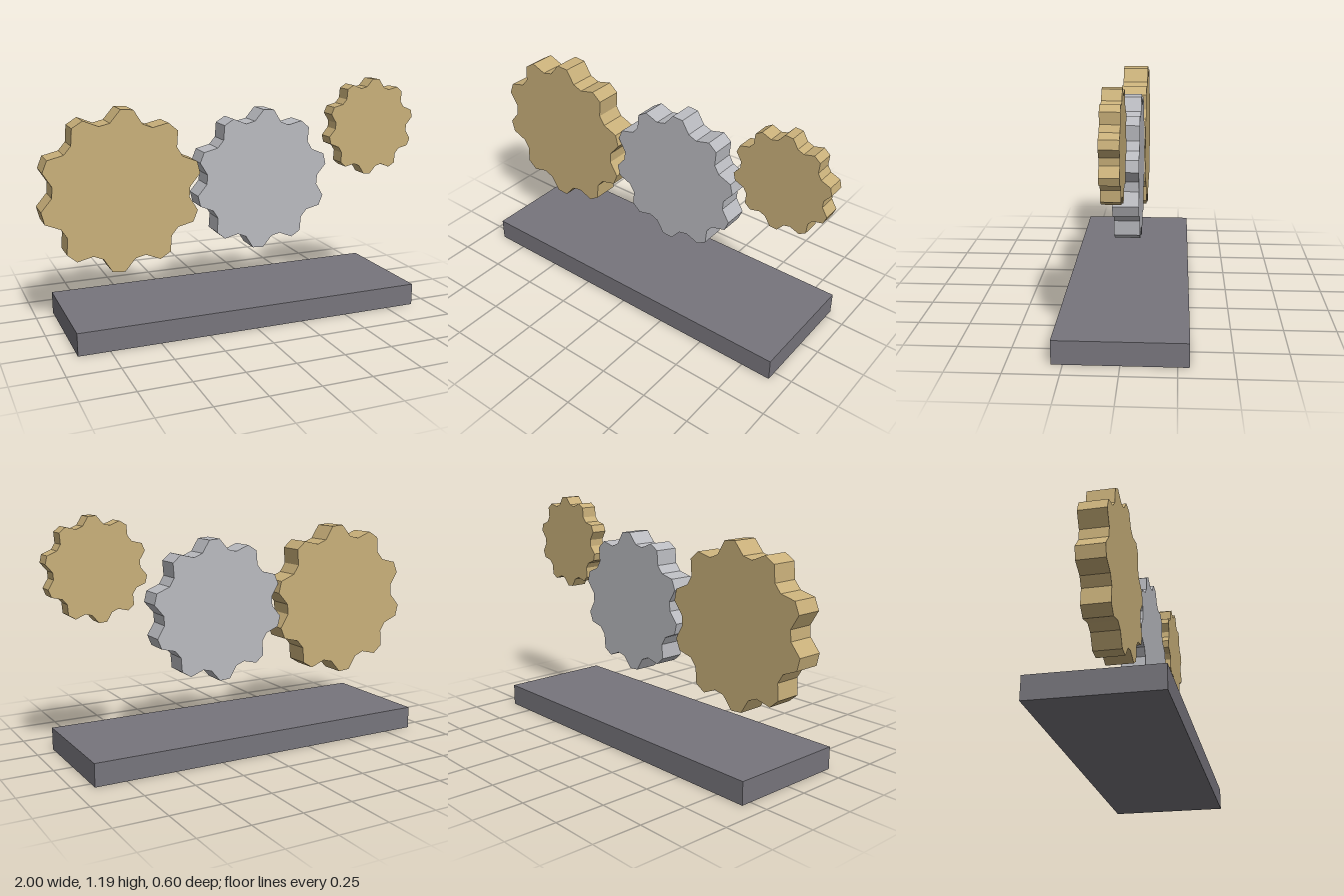
import * as THREE from 'three';

const BRASS = 0xc9b07a, STEEL = 0xbabbc0, SLATE = 0x77757c;
const TEETH = 10, ROOT = 0.855; // root radius as a share of the tip radius

function material(color) {
  return new THREE.MeshStandardMaterial({ color, flatShading: true });
}

// Toothed disc: each tooth has two root points, then two tip points
function makeGear(name, radius, depth, color, x, y, z) {
  const points = [];
  for (let i = 0; i < TEETH * 4; i++) {
    const angle = (i / (TEETH * 4)) * Math.PI * 2;
    const isTip = i % 4 === 1 || i % 4 === 2;
    const r = isTip ? radius : radius * ROOT;
    points.push(new THREE.Vector2(Math.cos(angle) * r, Math.sin(angle) * r));
  }
  const geometry = new THREE.ExtrudeGeometry(new THREE.Shape(points), { depth, bevelEnabled: false });
  geometry.translate(0, 0, -depth / 2);
  const gear = new THREE.Mesh(geometry, material(color));
  gear.name = name;
  gear.position.set(x, y, z);
  return gear;
}

export function createModel() {
  const model = new THREE.Group();
  model.name = 'gearTrain';

  // Flat base slab
  const base = new THREE.Mesh(new THREE.BoxGeometry(1.81, 0.113, 0.604), material(SLATE));
  base.name = 'base';
  base.position.y = 0.0565;
  model.add(base);

  // Three floating gears, from the model's right to its left
  model.add(
    makeGear('largeGear', 0.4, 0.134, BRASS, -0.605, 0.702, 0),
    makeGear('middleGear', 0.36, 0.124, STEEL, 0.135, 0.702, 0),
    makeGear('smallGear', 0.252, 0.086, BRASS, 0.751, 0.94, 0.036)
  );
  return model;
}
